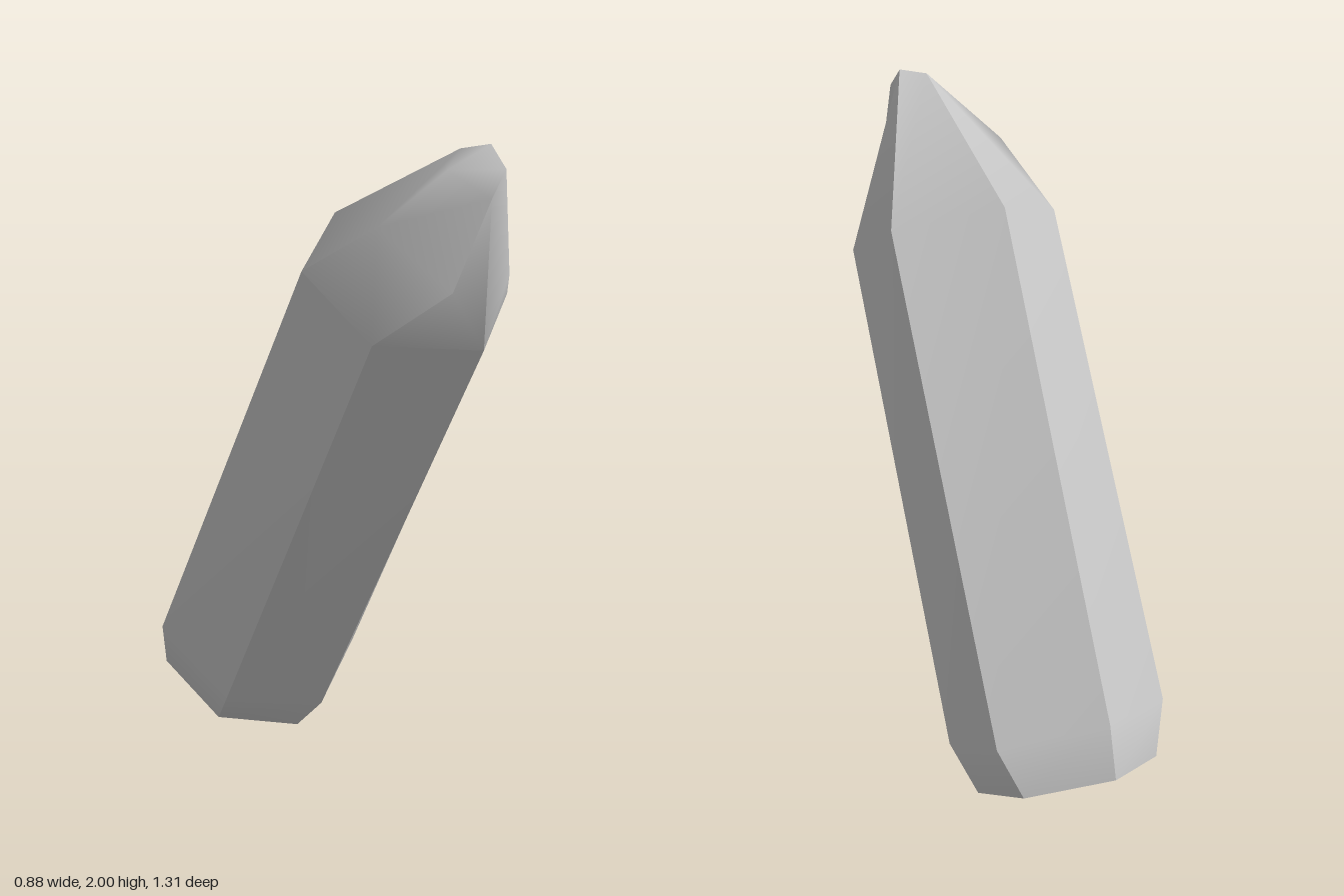
import * as THREE from 'three';

// Fan polygons (counter-clockwise from outside) into triangles. Triangles that meet
// at a corner and share a smoothing group get one area-weighted normal there.
function smoothedGeometry(faces) {
  const tris = [];
  for (const [groups, ...corners] of faces) {
    const p = corners.map((c) => new THREE.Vector3(...c));
    for (let i = 1; i < p.length - 1; i++) {
      const points = [p[0], p[i], p[i + 1]];
      const normal = points[1].clone().sub(points[0]).cross(points[2].clone().sub(points[0]));
      tris.push({ groups, points, normal });
    }
  }
  const pos = [], nor = [];
  for (const t of tris) {
    for (const v of t.points) {
      const n = new THREE.Vector3();
      for (const o of tris) {
        const joined = o.groups.some((g) => t.groups.includes(g));
        if (joined && o.points.some((q) => q.equals(v))) n.add(o.normal);
      }
      pos.push(...v);
      nor.push(...n.normalize());
    }
  }
  const g = new THREE.BufferGeometry();
  g.setAttribute('position', new THREE.Float32BufferAttribute(pos, 3));
  g.setAttribute('normal', new THREE.Float32BufferAttribute(nor, 3));
  return g;
}

export function createModel() {
  const group = new THREE.Group();
  group.name = 'crystal';
  const stone = new THREE.MeshStandardMaterial({ color: 0xc6c6c6 });
  stone.name = 'pale grey stone';

  // Hexagonal cross-sections along the leaning axis, bottom to top
  const base = [
    [-0.415, 0.185, -0.435], [-0.29, 0.06, -0.235], [-0.03, 0, -0.235],
    [0.12, 0.09, -0.45], [0, 0.22, -0.655], [-0.265, 0.27, -0.655],
  ];
  const lower = [
    [-0.44, 0.34, -0.36], [-0.29, 0.185, -0.11], [0.02, 0.12, -0.125],
    [0.2, 0.22, -0.375], [0.075, 0.37, -0.625], [-0.25, 0.43, -0.61],
  ];
  const upper = [
    [-0.165, 1.635, 0.335], [-0.04, 1.48, 0.58], [0.28, 1.44, 0.565],
    [0.437, 1.53, 0.32], [0.325, 1.68, 0.085], [0, 1.74, 0.09],
  ];

  // Corners of the cut tip
  const backLeft = [0.2, 1.99, 0.568], backRight = [0.28, 2, 0.58];
  const right = [0.308, 1.94, 0.622], front = [0.258, 1.87, 0.655];
  const left = [0.155, 1.94, 0.597], leftFacet = [-0.02, 1.79, 0.55];
  const frontFacet = [0.16, 1.625, 0.645], rightFacet = [0.355, 1.64, 0.545];

  // Base cap, then bevel and long side, one smoothing group per side
  const faces = [[['cap'], ...[...base].reverse()]];
  for (const [a, b] of [[base, lower], [lower, upper]]) {
    for (let i = 0; i < 6; i++) {
      const j = (i + 1) % 6;
      faces.push([[i], a[i], a[j], b[j], b[i]]);
    }
  }

  // Irregular facets of the point, blended into the sides and each other
  const [u0, u1, u2, u3, u4, u5] = upper;
  faces.push(
    [[4], u4, u5, backLeft, backRight],
    [[5, 'tipLeft'], backLeft, u5, u0, leftFacet, left],
    [[0, 'tipLeft'], u0, u1, leftFacet],
    [[0, 'tipLeft'], u1, frontFacet, leftFacet],
    [[0, 'tipLeft'], leftFacet, frontFacet, front, left],
    [['tipLeft'], left, front, right, backRight, backLeft],
    [[1, 'tipRight'], u1, u2, frontFacet],
    [[1, 'tipRight'], u2, front, frontFacet],
    [[2, 'tipRight'], u2, rightFacet, front],
    [[2, 'tipRight'], u2, u3, rightFacet],
    [[2, 'tipRight'], rightFacet, right, front],
    [[3, 'tipRight'], backRight, right, rightFacet, u3, u4],
  );

  const crystal = new THREE.Mesh(smoothedGeometry(faces), stone);
  crystal.name = 'crystalShard';
  group.add(crystal);
  return group;
}
